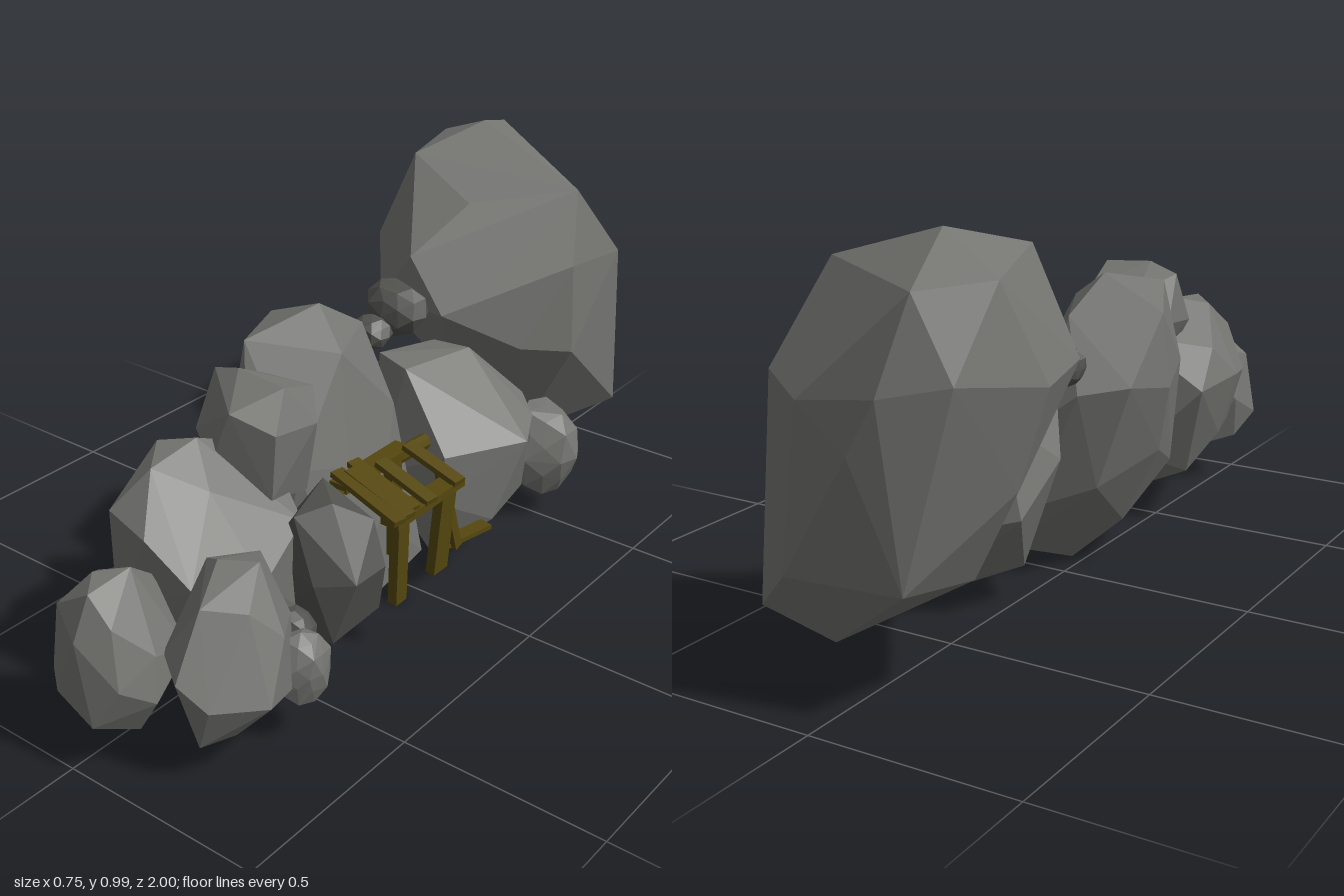
import * as THREE from 'three';
import { ConvexGeometry } from 'three/addons/geometries/ConvexGeometry.js';

const stone = new THREE.MeshStandardMaterial({ color: 0x757572, flatShading: true });
const darkStone = new THREE.MeshStandardMaterial({ color: 0x52524f, flatShading: true });
const wood = new THREE.MeshStandardMaterial({ color: 0x55470f, flatShading: true });

// Faceted boulder: convex hull around a few corner points
function boulder(name, corners, material = stone) {
  const mesh = new THREE.Mesh(new ConvexGeometry(corners.map(c => new THREE.Vector3(...c))), material);
  mesh.name = name;
  return mesh;
}

// Small stone: uneven icosahedron, hulled so every facet stays flat
function pebble(name, [x, y, z], [rx, ry, rz], seed, material) {
  const pos = new THREE.IcosahedronGeometry(1, 0).getAttribute('position');
  const corners = [];
  for (let i = 0; i < pos.count; i++) {
    // Each corner, plus the middle of the edge to the next one, pushed outwards
    const next = i % 3 === 2 ? i - 2 : i + 1;
    const corner = new THREE.Vector3().fromBufferAttribute(pos, i);
    const middle = new THREE.Vector3().fromBufferAttribute(pos, next).add(corner).normalize();
    for (const p of [corner, middle]) {
      const k = 1 + 0.1 * Math.sin(seed * 7 + p.x * 5 + p.y * 9 + p.z * 13);
      corners.push([x + p.x * rx * k, y + p.y * ry * k, z + p.z * rz * k]);
    }
  }
  return boulder(name, corners, material);
}

// Timber between two points: flat board, or round log when no thickness is given
function timber(name, a, b, width, thickness) {
  const from = new THREE.Vector3(...a), to = new THREE.Vector3(...b);
  const dir = to.clone().sub(from), length = dir.length();
  dir.normalize();
  const geo = thickness
    ? new THREE.BoxGeometry(width, length, thickness)
    : new THREE.CylinderGeometry(width / 2, width / 2, length, 8);
  const mesh = new THREE.Mesh(geo, wood);
  // Boards lying down keep their broad side up; standing boards show it sideways (+x)
  const hint = Math.abs(dir.y) > 0.7 ? new THREE.Vector3(1, 0, 0) : new THREE.Vector3(0, 1, 0);
  const side = new THREE.Vector3().crossVectors(dir, hint).normalize();
  const normal = new THREE.Vector3().crossVectors(side, dir);
  mesh.setRotationFromMatrix(new THREE.Matrix4().makeBasis(side, dir, normal));
  mesh.position.copy(from).add(to).multiplyScalar(0.5);
  mesh.name = name;
  return mesh;
}

function createRocks() {
  const rocks = new THREE.Group();
  rocks.name = 'rocks';
  rocks.add(
    boulder('backBoulder', [
      [-0.14, 0.99, -0.7], [-0.32, 0.915, -0.78], [-0.24, 0.915, -0.95], [-0.31, 0.74, -0.92], [-0.19, 0.72, -1],
      [-0.12, 0.6, -1], [0.03, 0.68, -0.96], [0.2, 0.89, -0.62], [0.23, 0.68, -0.8], [0.235, 0.71, -0.56],
      [0.24, 0.47, -0.57], [0.16, 0.5, -0.445], [0.01, 0.6, -0.305], [-0.19, 0.6, -0.315], [-0.1, 0.73, -0.32],
      [-0.22, 0.935, -0.5], [-0.02, 0.85, -0.46], [-0.32, 0.7, -0.48], [-0.38, 0.7, -0.7], [-0.32, 0.485, -0.72],
      [-0.215, 0.28, -0.72], [-0.19, 0.31, -0.93], [0.05, 0.13, -0.84], [0.05, 0.14, -0.64], [0.2, 0.2, -0.89],
      [0.08, 0.31, -0.96], [-0.05, 0.38, -0.43], [0.22, 0.36, -0.72],
    ]),
    boulder('middleBoulder', [
      [-0.055, 0.755, 0.1], [-0.23, 0.68, 0.07], [-0.12, 0.71, 0.29], [-0.03, 0.67, -0.03], [0.06, 0.68, 0.16],
      [-0.25, 0.5, 0.07], [-0.21, 0.52, -0.05], [-0.1, 0.5, -0.11], [-0.02, 0.44, -0.12], [0.09, 0.5, 0],
      [0.11, 0.42, 0.2], [-0.18, 0.52, 0.27], [-0.05, 0.5, 0.37], [0.07, 0.45, 0.33], [-0.21, 0.33, 0.1],
      [-0.14, 0.24, 0.3], [-0.12, 0.26, -0.05], [0.14, 0.25, 0.12], [0.03, 0.12, 0.36], [-0.1, 0.125, 0.12],
      [0.035, 0.005, 0.1], [0.15, 0.04, 0.24], [0.13, 0.07, -0.07], [0.03, 0.2, -0.1], [0.02, 0.03, 0.28],
    ]),
    boulder('rearBoulder', [
      [0.05, 0.54, -0.1], [-0.06, 0.54, -0.14], [0.08, 0.525, -0.33], [-0.05, 0.5, -0.36], [0.17, 0.38, -0.45],
      [0.24, 0.36, -0.39], [0.29, 0.34, -0.29], [0.19, 0.35, -0.075], [0.18, 0.22, -0.07], [0, 0.25, -0.06],
      [-0.12, 0.38, -0.22], [-0.1, 0.27, -0.36], [0.1, 0.22, -0.45], [0.23, 0.16, -0.37], [0.13, 0.07, -0.37],
      [0.14, 0.03, -0.26], [0.14, 0.05, -0.1], [-0.02, 0.1, -0.22], [0.24, 0.13, -0.22],
    ]),
    boulder('upperBoulder', [
      [-0.09, 0.7, 0.42], [-0.01, 0.725, 0.43], [0.12, 0.715, 0.43], [0.05, 0.67, 0.53], [-0.03, 0.66, 0.31],
      [0.1, 0.67, 0.31], [0.16, 0.62, 0.37], [0.145, 0.63, 0.49], [-0.1, 0.58, 0.36], [-0.1, 0.57, 0.48],
      [0, 0.54, 0.54], [0.13, 0.47, 0.49], [-0.02, 0.42, 0.47], [0.11, 0.43, 0.35], [-0.03, 0.44, 0.33],
    ]),
    boulder('frontBoulder', [
      [-0.02, 0.605, 0.56], [-0.1, 0.59, 0.6], [-0.02, 0.59, 0.7], [0.07, 0.53, 0.62], [-0.17, 0.5, 0.48],
      [-0.21, 0.42, 0.55], [-0.18, 0.4, 0.4], [-0.17, 0.4, 0.68], [-0.08, 0.5, 0.77], [0.03, 0.47, 0.78],
      [0.13, 0.37, 0.75], [0.2, 0.34, 0.6], [0.18, 0.42, 0.45], [0.02, 0.53, 0.38], [-0.16, 0.25, 0.55],
      [-0.09, 0.23, 0.76], [-0.1, 0.15, 0.48], [0.02, 0.1, 0.45], [0.04, 0.1, 0.7], [0.16, 0.14, 0.66],
      [0.15, 0.16, 0.42], [0, 0.22, 0.35],
    ]),
    boulder('sideBoulder', [
      [0.24, 0.47, 0.42], [0.19, 0.45, 0.49], [0.14, 0.46, 0.33], [0.3, 0.42, 0.35], [0.34, 0.32, 0.36],
      [0.33, 0.31, 0.45], [0.22, 0.28, 0.28], [0.25, 0.3, 0.5], [0.06, 0.33, 0.3], [0.06, 0.3, 0.45],
      [0.3, 0.18, 0.33], [0.28, 0.15, 0.47], [0.2, 0.1, 0.43], [0.19, 0.13, 0.29], [0.1, 0.14, 0.43],
    ], darkStone),
    boulder('tipBoulder', [
      [0, 0.445, 0.9], [0.05, 0.44, 0.96], [0.06, 0.455, 0.85], [-0.05, 0.4, 0.84], [-0.06, 0.37, 0.95],
      [0.04, 0.34, 1], [0.1, 0.37, 0.95], [0.15, 0.29, 0.88], [-0.08, 0.26, 0.84], [-0.09, 0.2, 0.95],
      [-0.03, 0.19, 0.995], [0.07, 0.14, 0.995], [0.165, 0.19, 0.9], [0.13, 0.24, 0.97], [0.11, 0.1, 0.9],
      [0.01, 0.1, 0.94], [-0.06, 0.14, 0.88], [0.05, 0.11, 0.78], [0.03, 0.38, 0.76], [0.14, 0.25, 0.78],
    ]),
    boulder('cornerBoulder', [
      [0.26, 0.46, 0.68], [0.18, 0.455, 0.72], [0.13, 0.43, 0.7], [0.2, 0.43, 0.61], [0.3, 0.39, 0.76],
      [0.22, 0.4, 0.82], [0.12, 0.3, 0.72], [0.14, 0.28, 0.85], [0.23, 0.27, 0.91], [0.3, 0.22, 0.89],
      [0.34, 0.32, 0.7], [0.37, 0.2, 0.78], [0.33, 0.17, 0.66], [0.18, 0.28, 0.59], [0.27, 0.3, 0.6],
      [0.29, 0.11, 0.8], [0.25, 0.1, 0.87], [0.17, 0.1, 0.8], [0.13, 0.16, 0.74], [0.16, 0.13, 0.65],
      [0.25, 0.12, 0.66],
    ]),
  );

  // Small stones filling the gaps: position, radii, material
  [
    [[0.315, 0.195, 0.62], [0.062, 0.085, 0.065], stone],
    [[0.23, 0.18, 0.54], [0.05, 0.08, 0.05], darkStone],
    [[0.2, 0.195, -0.525], [0.095, 0.135, 0.095], stone],
    [[-0.095, 0.61, -0.255], [0.085, 0.075, 0.065], darkStone],
    [[-0.095, 0.58, -0.155], [0.05, 0.045, 0.045], darkStone],
  ].forEach(([at, radii, material], i) =>
    rocks.add(pebble('smallStone' + (i + 1), at, radii, i + 1, material)));
  return rocks;
}

function createPlatform() {
  const platform = new THREE.Group();
  platform.name = 'woodenPlatform';

  // Deck boards, sloping down outwards: z at the inner and outer end, x at both ends
  for (const [z0, z1, x0, x1] of [
    [0.04, 0.05, 0.16, 0.32], [0.145, 0.16, 0.16, 0.32], [0.185, 0.215, 0.11, 0.31],
    [0.22, 0.245, 0.13, 0.32], [0.245, 0.28, 0.11, 0.32],
  ]) platform.add(timber('deckBoard', [x0, 0.427, z0], [x1, 0.385, z1], 0.036, 0.014));

  // Bearers under the deck
  platform.add(
    timber('bearer', [0.135, 0.405, 0.02], [0.135, 0.405, 0.27], 0.05, 0.02),
    timber('bearer', [0.29, 0.372, 0.02], [0.29, 0.372, 0.28], 0.05, 0.02),
  );

  // Posts and leaning brace
  platform.add(
    timber('post', [0.26, 0.125, 0.05], [0.28, 0.37, 0.045], 0.055, 0.025),
    timber('post', [0.15, 0.14, 0.07], [0.14, 0.4, 0.07], 0.04, 0.025),
    timber('post', [0.28, 0.14, 0.235], [0.29, 0.37, 0.24], 0.04, 0.025),
    timber('roundPost', [0.16, 0.14, 0.265], [0.14, 0.4, 0.285], 0.04),
    timber('brace', [0.25, 0.14, -0.045], [0.24, 0.38, 0.015], 0.025, 0.02),
  );

  // Round log reaching back to the rocks, and a loose board
  platform.add(
    timber('log', [0.125, 0.375, -0.09], [0.13, 0.385, 0.05], 0.04),
    timber('looseBoard', [0.255, 0.145, -0.17], [0.225, 0.145, -0.02], 0.038, 0.012),
  );
  return platform;
}

export function createModel() {
  const model = new THREE.Group();
  model.name = 'rockRidge';
  model.add(createRocks(), createPlatform());
  return model;
}
